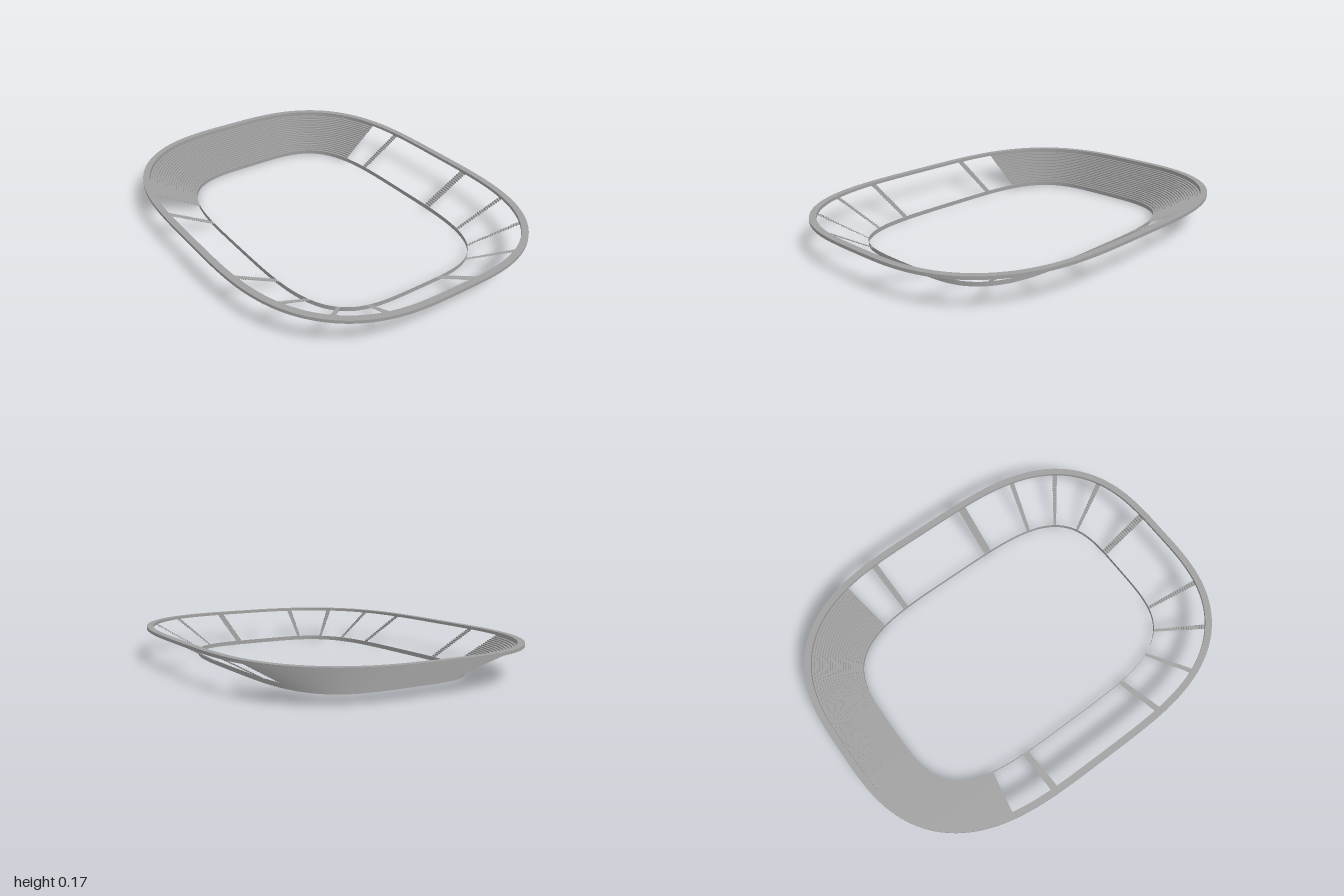
import * as THREE from 'three';
import { toCreasedNormals } from 'three/addons/utils/BufferGeometryUtils.js';

const A = 0.503, B = 0.733, N = 3.8; // inner superellipse
const RAKE = 0.235, BASE_Y = 0.022, RIM_Y = 0.15, TOP_Y = 0.165, ROWS = 20;

// Point on the inner curve at parameter t (degrees), pushed out by d along the normal
function bowlPoint(t, d, y) {
  const c = Math.cos(THREE.MathUtils.degToRad(t));
  const s = Math.sin(THREE.MathUtils.degToRad(t));
  const power = (v, e) => Math.sign(v) * Math.pow(Math.abs(v), e);
  const nx = power(c, 2 - 2 / N) / A, nz = power(s, 2 - 2 / N) / B;
  const len = Math.hypot(nx, nz);
  return [A * power(c, 2 / N) + d * nx / len, y, B * power(s, 2 / N) + d * nz / len];
}

// Sweep a profile of [offset, height] points along the curve
function sweep(profile, from, to, segments) {
  const positions = [];
  for (let i = 0; i < segments; i++) {
    const t0 = from + (to - from) * i / segments;
    const t1 = from + (to - from) * (i + 1) / segments;
    for (let j = 0; j < profile.length - 1; j++) {
      const a = bowlPoint(t0, ...profile[j]), b = bowlPoint(t1, ...profile[j]);
      const c = bowlPoint(t1, ...profile[j + 1]), d = bowlPoint(t0, ...profile[j + 1]);
      positions.push(...a, ...b, ...c, ...a, ...c, ...d);
    }
  }
  const geometry = new THREE.BufferGeometry();
  geometry.setAttribute('position', new THREE.Float32BufferAttribute(positions, 3));
  geometry.computeVertexNormals();
  return toCreasedNormals(geometry, 0.5);
}

export function createModel() {
  const group = new THREE.Group();
  const concrete = new THREE.MeshStandardMaterial({ color: 0xa0a0a0, side: THREE.DoubleSide });
  concrete.name = 'concrete grey';
  const add = (name, geometry) => {
    const mesh = new THREE.Mesh(geometry, concrete);
    mesh.name = name;
    group.add(mesh);
  };

  // Thin wall around the pitch
  add('lowerWall', sweep([[0, 0], [0, BASE_Y]], 0, 360, 180));

  // Flat walkway with a solid edge around the top
  add('upperRim', sweep([
    [RAKE, RIM_Y], [RAKE, TOP_Y], [RAKE + 0.033, TOP_Y], [RAKE + 0.033, RIM_Y], [RAKE, RIM_Y],
  ], 0, 360, 180));

  // Stepped profile: a tread, then a riser, for each row
  const steps = [[0, BASE_Y]];
  for (let i = 1; i <= ROWS; i++) {
    const d = RAKE * i / ROWS;
    steps.push([d, steps[steps.length - 1][1]], [d, BASE_Y + (RIM_Y - BASE_Y) * i / ROWS]);
  }

  // Large terrace across the back
  add('backTerrace', sweep(steps, 180 + 24.5, 360 - 24.5, 66));

  // Narrow stepped aisles, each one two-degree slice of the bowl
  const aisles = [-11.7, 6, 26.5, 46, 65, 86, 107.7, 126.7, 147, 167, 189];
  aisles.forEach((t, i) => add('aisle' + (i + 1), sweep(steps, t - 1, t + 1, 1)));

  return group;
}
